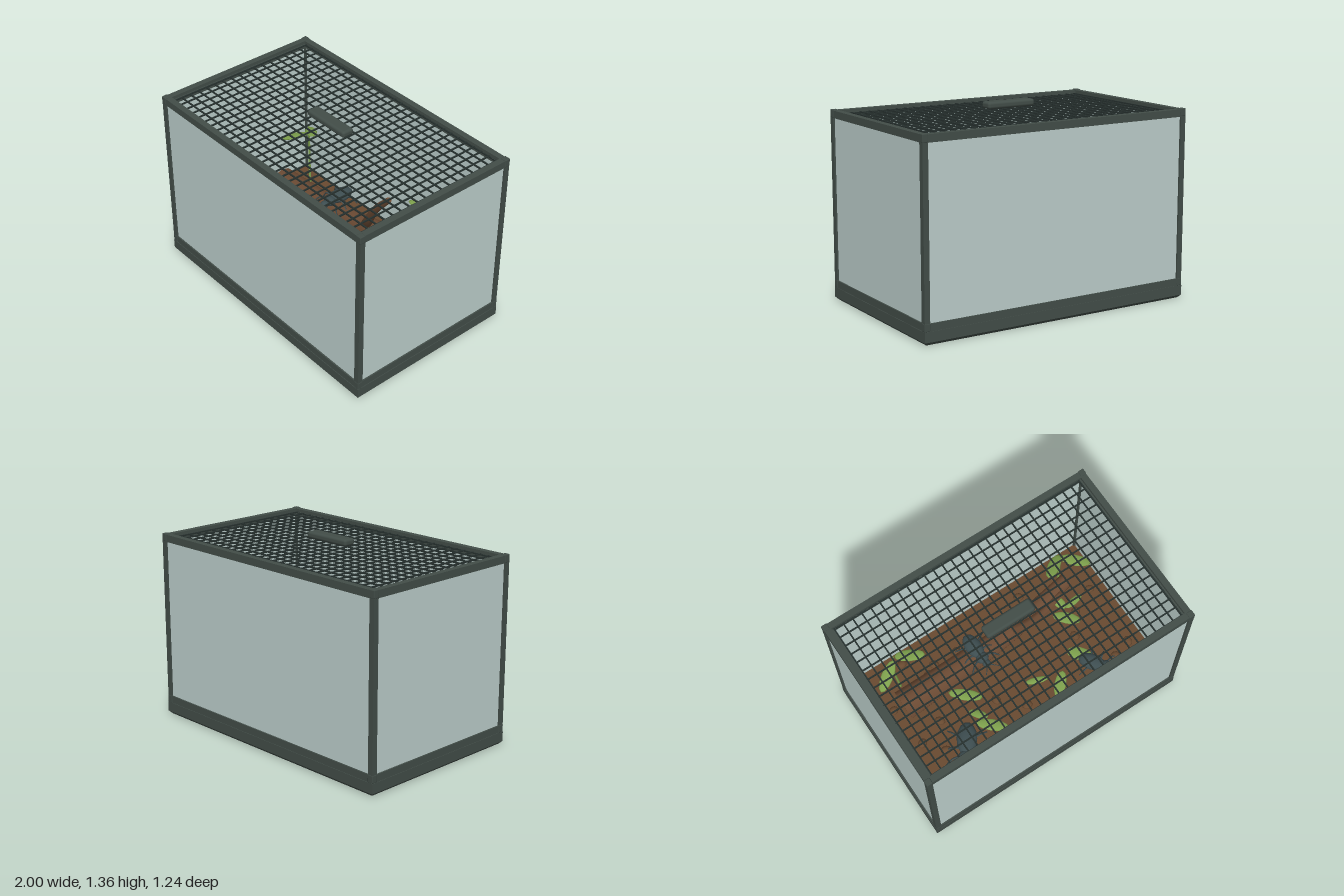
import * as THREE from 'three';
import { RoundedBoxGeometry } from 'three/addons/geometries/RoundedBoxGeometry.js';

const mat = (name, color, side = THREE.FrontSide) => {
  const m = new THREE.MeshStandardMaterial({ color, side });
  m.name = name;
  return m;
};
const V = (x, y, z) => new THREE.Vector3(x, y, z);

export function createModel() {
  const frameMat = mat('dark frame', 0x424d48);
  const glassMat = mat('pale glass', 0xbccecb);
  const wireMat = mat('mesh wire', 0x27312f);
  const soilMat = mat('soil', 0x694a30);
  const barkMat = mat('bark', 0x6b4a33);
  const leafMat = mat('leaf green', 0x7da04c);
  const beetleMat = mat('beetle shell', 0x3d4d50);

  const model = new THREE.Group();
  model.name = 'terrarium';
  const add = (name, geo, material, x = 0, y = 0, z = 0, parent = model) => {
    const m = new THREE.Mesh(geo, material);
    m.name = name;
    m.position.set(x, y, z);
    parent.add(m);
    return m;
  };
  const box = (name, w, h, d, material, x, y, z) =>
    add(name, new THREE.BoxGeometry(w, h, d), material, x, y, z);

  // Base tray with a chamfered lower edge
  let base = new THREE.BoxGeometry(2, 0.088, 1.24, 1, 2, 1);
  const p = base.attributes.position;
  for (let i = 0; i < p.count; i++) {
    if (Math.abs(p.getY(i)) < 0.01) p.setY(i, -0.024);
    else if (p.getY(i) < 0) {
      p.setX(i, p.getX(i) * 0.98);
      p.setZ(i, p.getZ(i) * 0.97);
    }
  }
  base = base.toNonIndexed();
  base.computeVertexNormals();
  add('baseTray', base, frameMat, 0, 0.044, 0);

  // Rails, glass panes and corner posts
  for (const s of [-1, 1]) {
    for (const [y, h] of [[0.112, 0.05], [1.27, 0.05]]) {
      box('longRail', 1.95, h, 0.044, frameMat, 0, y, s * 0.594);
      box('shortRail', 0.044, h, 1.19, frameMat, s * 0.974, y, 0);
    }
    // Inner ledge that carries the lid mesh
    box('lidLedge', 1.9, 0.025, 0.012, frameMat, 0, 1.26, s * 0.572);
    box('lidLedge', 0.02, 0.025, 1.14, frameMat, s * 0.946, 1.26, 0);
    box('longGlass', 1.94, 1.13, 0.012, glassMat, 0, 0.69, s * 0.6);
    box('shortGlass', 0.012, 1.13, 1.19, glassMat, s * 0.98, 0.69, 0);
    for (const t of [-1, 1]) {
      box('cornerPost', 0.038, 1.2, 0.038, frameMat, s * 0.979, 0.69, t * 0.599);
      for (const y of [0.114, 1.274])
        add('cornerCap', new RoundedBoxGeometry(0.042, 0.052, 0.042, 1, 0.005), frameMat, s * 0.979, y, t * 0.599);
    }
  }

  // Wire mesh lid and handle
  const lid = new THREE.Group();
  lid.name = 'meshLid';
  model.add(lid);
  const step = 0.0668;
  const wireX = new THREE.BoxGeometry(0.009, 0.009, 1.15);
  const wireZ = new THREE.BoxGeometry(1.89, 0.009, 0.009);
  for (let i = 0; i < 29; i++) add('crossWire', wireX, wireMat, (i - 14) * step, 1.272, 0, lid);
  for (let i = 0; i < 18; i++) add('longWire', wireZ, wireMat, 0, 1.268, (i - 8.5) * step, lid);
  add('lidHandle', new RoundedBoxGeometry(0.36, 0.048, 0.09, 3, 0.018), frameMat, 0, 1.335, 0);

  // Soil and scattered pebbles
  const soilTop = 0.2;
  box('soil', 1.94, soilTop - 0.08, 1.18, soilMat, 0, (soilTop + 0.08) / 2, 0);
  const pebbles = [[-0.57, -0.5], [-0.4, -0.48], [0.4, -0.47], [-0.46, -0.33], [-0.38, -0.37], [-0.2, -0.37],
    [0.04, -0.3], [0.86, -0.24], [0.68, -0.15], [-0.57, 0], [-0.76, 0.07], [-0.16, 0.09], [0, 0.24],
    [-0.22, 0.39], [-0.15, 0.39], [0.04, 0.47], [0.7, 0.44], [0.72, 0.28], [0.86, 0.24], [-0.64, 0.44],
    [-0.57, 0.49], [-0.48, 0.37], [-0.8, -0.24], [0.57, 0], [-0.65, 0.2]];
  const pebbleGeo = new THREE.SphereGeometry(0.038, 10, 6);
  pebbles.forEach(([x, z], i) => {
    const m = add('pebble', pebbleGeo, soilMat, x, soilTop, z);
    m.scale.set(1, 0.6, 0.8);
    m.rotation.y = i * 1.3;
  });

  // Tapered limb swept along a curve, with end caps
  const limb = (name, points, r0, r1, material, sides = 12, parent = model) => {
    const curve = new THREE.CatmullRomCurve3(points.map((q) => V(...q)));
    const n = 20;
    const geo = new THREE.TubeGeometry(curve, n, 1, sides);
    const a = geo.attributes.position;
    for (let i = 0; i < a.count; i++) {
      const u = Math.floor(i / (sides + 1)) / n;
      const c = curve.getPointAt(u);
      const v = V(0, 0, 0).fromBufferAttribute(a, i).sub(c).multiplyScalar(r0 + (r1 - r0) * u).add(c);
      a.setXYZ(i, v.x, v.y, v.z);
    }
    geo.computeVertexNormals();
    add(name, geo, material, 0, 0, 0, parent);
    for (const [u, r, d] of [[0, r0, -1], [1, r1, 1]]) {
      const c = curve.getPointAt(u);
      const cap = add(name + 'End', new THREE.CircleGeometry(r, sides), material, c.x, c.y, c.z, parent);
      cap.quaternion.setFromUnitVectors(V(0, 0, 1), curve.getTangentAt(u).multiplyScalar(d));
    }
  };
  limb('log', [[-0.74, 0.36, -0.185], [-0.3, 0.41, -0.19], [0.2, 0.49, -0.2], [0.66, 0.6, -0.26]], 0.11, 0.05, barkMat);
  limb('logFork', [[0.14, 0.48, -0.2], [0.24, 0.62, -0.13], [0.36, 0.8, -0.09], [0.48, 0.94, -0.085]], 0.04, 0.02, barkMat, 8);

  // Leaves: flattened ellipsoids pointing from base to tip
  const leafGeo = new THREE.SphereGeometry(1, 12, 8);
  const leaf = (a, b, w = 0.042) => {
    const from = V(...a), to = V(...b), dir = to.clone().sub(from);
    const len = dir.length();
    dir.normalize();
    const side = V(0, 1, 0).cross(dir).normalize();
    const up = dir.clone().cross(side);
    const m = add('leaf', leafGeo, leafMat, ...from.add(to).multiplyScalar(0.5).toArray());
    m.quaternion.setFromRotationMatrix(new THREE.Matrix4().makeBasis(side, up, dir));
    m.scale.set(w, 0.012, len / 2);
  };
  for (const s of [-1, 1]) {
    limb('plantStem', [[s * 0.66, soilTop, -0.37], [s * 0.68, 0.5, -0.38], [s * 0.67, 0.8, -0.37]], 0.01, 0.007, leafMat, 6);
    leaf([s * 0.67, 0.74, -0.37], [s * 0.85, 0.66, -0.25]);
    leaf([s * 0.66, 0.8, -0.37], [s * 0.49, 0.86, -0.25]);
  }
  leaf([-0.44, 0.4, -0.08], [-0.25, 0.34, 0.06]);
  leaf([-0.38, 0.3, 0.08], [-0.3, 0.34, 0.2], 0.03);
  leaf([-0.38, 0.25, 0.16], [-0.2, 0.22, 0.31]);
  leaf([0.07, 0.24, 0.11], [0.23, 0.22, 0.16], 0.025);
  leaf([0.2, 0.22, 0.32], [0.34, 0.24, 0.18]);
  leaf([0.4, 0.7, -0.06], [0.56, 0.62, 0.05]);
  leaf([0.44, 0.26, 0.08], [0.58, 0.22, 0.2], 0.05);
  leaf([0.5, 0.72, -0.05], [0.65, 0.7, -0.08], 0.025);
  leaf([0.46, 0.76, -0.15], [0.5, 0.72, -0.05], 0.035);

  // Beetles, each facing its own +z
  const ball = new THREE.SphereGeometry(1, 14, 10);
  const beetle = (x, y, z, turn, size) => {
    const g = new THREE.Group();
    g.name = 'beetle';
    const part = (name, sx, sy, sz, py, pz) =>
      add(name, ball, beetleMat, 0, py, pz, g).scale.set(sx, sy, sz);
    part('wingCase', 0.065, 0.045, 0.11, 0.045, -0.06);
    part('thorax', 0.05, 0.036, 0.045, 0.045, 0.055);
    part('head', 0.032, 0.025, 0.032, 0.042, 0.11);
    for (const s of [-1, 1]) {
      for (const [a, b] of [[0.05, 0.1], [0, 0], [-0.06, -0.12]])
        limb('leg', [[s * 0.03, 0.04, a], [s * 0.085, 0.05, (a + b) / 2], [s * 0.125, 0, b]], 0.008, 0.005, beetleMat, 5, g);
      limb('antenna', [[s * 0.015, 0.045, 0.13], [s * 0.035, 0.06, 0.16], [s * 0.06, 0.055, 0.185]], 0.005, 0.003, beetleMat, 5, g);
    }
    g.position.set(x, y, z);
    g.rotation.y = turn;
    g.scale.setScalar(size);
    model.add(g);
  };
  beetle(-0.14, 0.53, -0.16, 0.06, 0.9);
  beetle(-0.53, soilTop, 0.28, -0.6, 1.1);
  beetle(0.58, soilTop, 0.28, 0.65, 0.9);

  return model;
}
